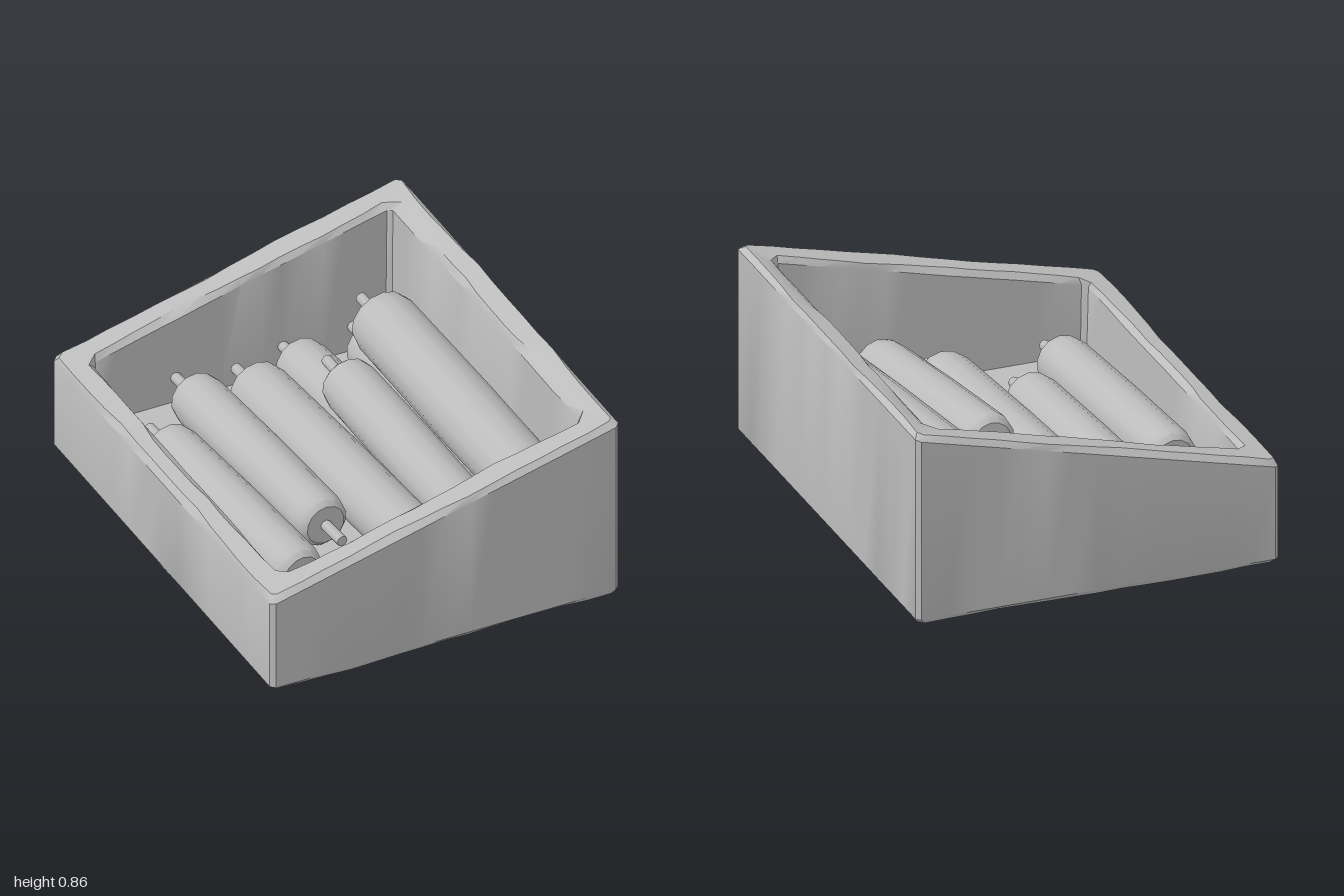
import * as THREE from 'three';
import { toCreasedNormals } from 'three/addons/utils/BufferGeometryUtils.js';

const grey = new THREE.MeshStandardMaterial({ color: 0xbcbcbc });
grey.name = 'plain grey';

// Smooth, repeatable unevenness for the worn edges, between -1 and 1
const wear = (t, seed) =>
  0.5 * Math.sin(t * 5 + seed) + 0.3 * Math.sin(t * 11 + seed * 2.3) + 0.2 * Math.sin(t * 23 + seed * 4.1);

// Height of the sloping rim
const rimHeight = (x) => 0.66 + 0.25 * x;

// One rectangular loop with clipped corners, counterclockwise from above
function ring({ hx, hz, y, drop = 0, worn = 0, seed = 0, clip = 0.02 }) {
  const corners = [[1, 1], [1, -1], [-1, -1], [-1, 1]];
  const steps = 14;
  const points = [];
  corners.forEach(([ax, az], k) => {
    const [bx, bz] = corners[(k + 1) % 4];
    for (let i = 0; i <= steps; i++) {
      const cut = clip / (bx === ax ? hz : hx) / 2;
      const t = cut + (1 - 2 * cut) * (i / steps);
      const w = worn * wear((k + t) * 1.57, seed);
      const x = (ax + (bx - ax) * t) * (hx + (ax === bx ? w : 0));
      const z = (az + (bz - az) * t) * (hz + (az === bz ? w : 0));
      points.push([x, y ?? rimHeight(x) - drop, z]);
    }
  });
  return points;
}

// Skin a stack of loops and close both ends
function skin(rings) {
  const n = rings[0].length;
  const positions = rings.flat(2);
  const index = [];
  for (let r = 0; r < rings.length - 1; r++) {
    for (let i = 0; i < n; i++) {
      const j = (i + 1) % n;
      const a0 = r * n + i, a1 = r * n + j;
      index.push(a0, a1, a1 + n, a0, a1 + n, a0 + n);
    }
  }
  const bottom = rings.length * n;
  const last = (rings.length - 1) * n;
  positions.push(0, rings[0][0][1], 0, 0, rings[rings.length - 1][0][1], 0);
  for (let i = 0; i < n; i++) {
    const j = (i + 1) % n;
    index.push(bottom, j, i, bottom + 1, last + i, last + j);
  }
  const geometry = new THREE.BufferGeometry();
  geometry.setAttribute('position', new THREE.Float32BufferAttribute(positions, 3));
  geometry.setIndex(index);
  return toCreasedNormals(geometry, 0.6);
}

// Open tray: outer wall, worn rim, inner wall and floor
function makeTray() {
  const geometry = skin([
    ring({ hx: 0.785, hz: 0.985, y: 0, worn: 0.01, seed: 1 }),
    ring({ hx: 0.803, hz: 1, y: 0.02 }),
    ring({ hx: 0.803, hz: 1, drop: 0.025 }),
    ring({ hx: 0.785, hz: 0.975, drop: 0, worn: 0.012, seed: 4 }),
    ring({ hx: 0.715, hz: 0.885, drop: 0.004, worn: 0.014, seed: 7, clip: 0.05 }),
    ring({ hx: 0.692, hz: 0.863, drop: 0.03, worn: 0.004, seed: 9 }),
    ring({ hx: 0.685, hz: 0.86, y: 0.15 }),
  ]);
  const tray = new THREE.Mesh(geometry, grey);
  tray.name = 'tray';
  return tray;
}

// Rolling pin from back end to front end of its body
function makePin(back, front, radius) {
  const a = new THREE.Vector3(...back), b = new THREE.Vector3(...front);
  const length = a.distanceTo(b), h = length / 2;
  const pin = new THREE.Group();
  pin.name = 'rollingPin';

  const profile = [
    [0, -h], [radius * 0.72, -h], [radius * 0.9, -h + 0.022], [radius * 0.97, -h + 0.07],
    [radius, 0],
    [radius * 0.97, h - 0.07], [radius * 0.9, h - 0.022], [radius * 0.72, h], [0, h],
  ].map(([x, y]) => new THREE.Vector2(x, y));
  const body = new THREE.Mesh(toCreasedNormals(new THREE.LatheGeometry(profile, 14), 0.7), grey);
  body.name = 'pinBody';
  pin.add(body);

  // Thin handle at each end
  for (const side of [-1, 1]) {
    const handle = new THREE.Mesh(new THREE.CylinderGeometry(0.024, 0.024, 0.16, 8), grey);
    handle.name = 'pinHandle';
    handle.position.y = side * (h + 0.055);
    pin.add(handle);
  }

  pin.position.copy(a).add(b).multiplyScalar(0.5);
  pin.quaternion.setFromUnitVectors(new THREE.Vector3(0, 1, 0), b.clone().sub(a).normalize());
  return pin;
}

export function createModel() {
  const model = new THREE.Group();
  model.name = 'trayOfRollingPins';
  model.add(makeTray());

  // Five pins on the floor, two stacked on top
  const pins = [
    [[-0.555, 0.27, -0.45], [-0.48, 0.265, 0.64], 0.122],
    [[-0.295, 0.27, -0.73], [-0.23, 0.265, 0.36], 0.122],
    [[-0.05, 0.28, -0.66], [0.04, 0.27, 0.65], 0.135],
    [[0.2, 0.27, -0.76], [0.29, 0.265, 0.33], 0.122],
    [[0.515, 0.27, -0.73], [0.54, 0.265, 0.36], 0.122],
    [[0.205, 0.43, -0.34], [0.28, 0.33, 0.74], 0.125],
    [[0.495, 0.49, -0.6], [0.58, 0.38, 0.79], 0.15],
  ];
  pins.forEach((p) => model.add(makePin(...p)));
  return model;
}
